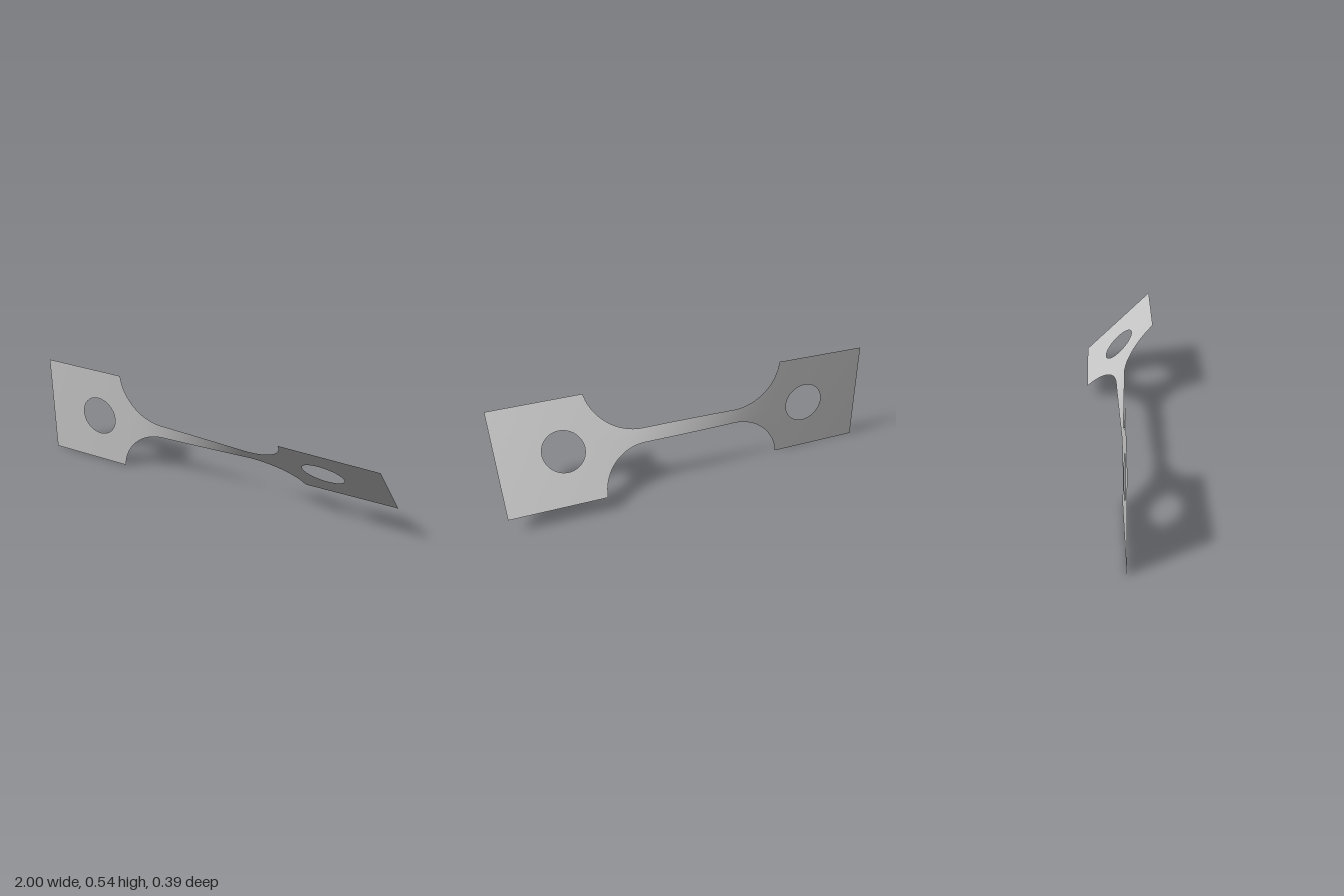
import * as THREE from 'three';
import { mergeGeometries, mergeVertices } from 'three/addons/utils/BufferGeometryUtils.js';

const MID_Y = 0.2715;    // height of the long axis
const HALF = 0.2715;     // half width of the end plates
const NECK = 0.0375;     // half width of the neck
const NECK_END = 0.25, PLATE_START = 0.51;
const FILLET = 0.2615;   // radius of the shoulder arcs
const HOLE_X = 0.67, HOLE_R = 0.107;
const TWIST = THREE.MathUtils.degToRad(45.4);

// Half width of the strip at x
function halfWidth(x) {
  const a = Math.abs(x);
  if (a <= NECK_END) return NECK;
  if (a >= PLATE_START - 1e-6) return HALF;
  return NECK + FILLET - Math.sqrt(FILLET ** 2 - (a - NECK_END) ** 2);
}

// Twist angle along x: narrow sections turn faster than wide ones
const STEPS = 800;
const angles = [0];
for (let i = 0; i < STEPS; i++) {
  const x = -1 + (2 * (i + 0.5)) / STEPS;
  angles.push(angles[i] + halfWidth(x) ** -1.6);
}
function twistAt(x) {
  const t = THREE.MathUtils.clamp(((x + 1) / 2) * STEPS, 0, STEPS);
  const i = Math.min(Math.floor(t), STEPS - 1);
  return (TWIST * THREE.MathUtils.lerp(angles[i], angles[i + 1], t - i)) / angles[STEPS];
}

// One patch of the sheet between two edge curves, from x0 to x1
function patch(x0, x1, low, high, nx, ny, round = false) {
  const g = new THREE.PlaneGeometry(1, 1, nx, ny);
  const p = g.attributes.position;
  for (let i = 0; i < p.count; i++) {
    let u = p.getX(i) + 0.5;
    if (round) u = (1 - Math.cos(u * Math.PI)) / 2;
    const x = THREE.MathUtils.lerp(x0, x1, u);
    const r = THREE.MathUtils.lerp(low(x), high(x), p.getY(i) + 0.5);
    const a = twistAt(x);
    p.setXYZ(i, x, MID_Y + r * Math.cos(a), r * Math.sin(a));
  }
  g.deleteAttribute('normal');
  g.deleteAttribute('uv');
  return g;
}

export function createModel() {
  const group = new THREE.Group();
  group.name = 'twistedSpecimen';
  const metal = new THREE.MeshStandardMaterial({ color: 0xc4c4c4, side: THREE.DoubleSide });
  metal.name = 'grey metal';

  const top = halfWidth, bottom = (x) => -halfWidth(x);

  // Neck with its shoulder arcs
  const patches = [
    patch(-PLATE_START, -NECK_END, bottom, top, 32, 12),
    patch(-NECK_END, NECK_END, bottom, top, 60, 12),
    patch(NECK_END, PLATE_START, bottom, top, 32, 12),
  ];

  // End plates, split above and below the round hole
  for (const s of [-1, 1]) {
    const c = s * HOLE_X;
    const hole = (x) => Math.sqrt(Math.max(0, HOLE_R ** 2 - (x - c) ** 2));
    const left = s < 0 ? -1 : PLATE_START;
    const right = s < 0 ? -PLATE_START : 1;
    patches.push(
      patch(left, c - HOLE_R, bottom, top, 6, 12),
      patch(c - HOLE_R, c + HOLE_R, hole, top, 32, 6, true),
      patch(c - HOLE_R, c + HOLE_R, bottom, (x) => -hole(x), 32, 6, true),
      patch(c + HOLE_R, right, bottom, top, 6, 12),
    );
  }

  const sheet = mergeVertices(mergeGeometries(patches), 1e-5);
  sheet.computeVertexNormals();
  const mesh = new THREE.Mesh(sheet, metal);
  mesh.name = 'twistedSheet';
  group.add(mesh);
  return group;
}
